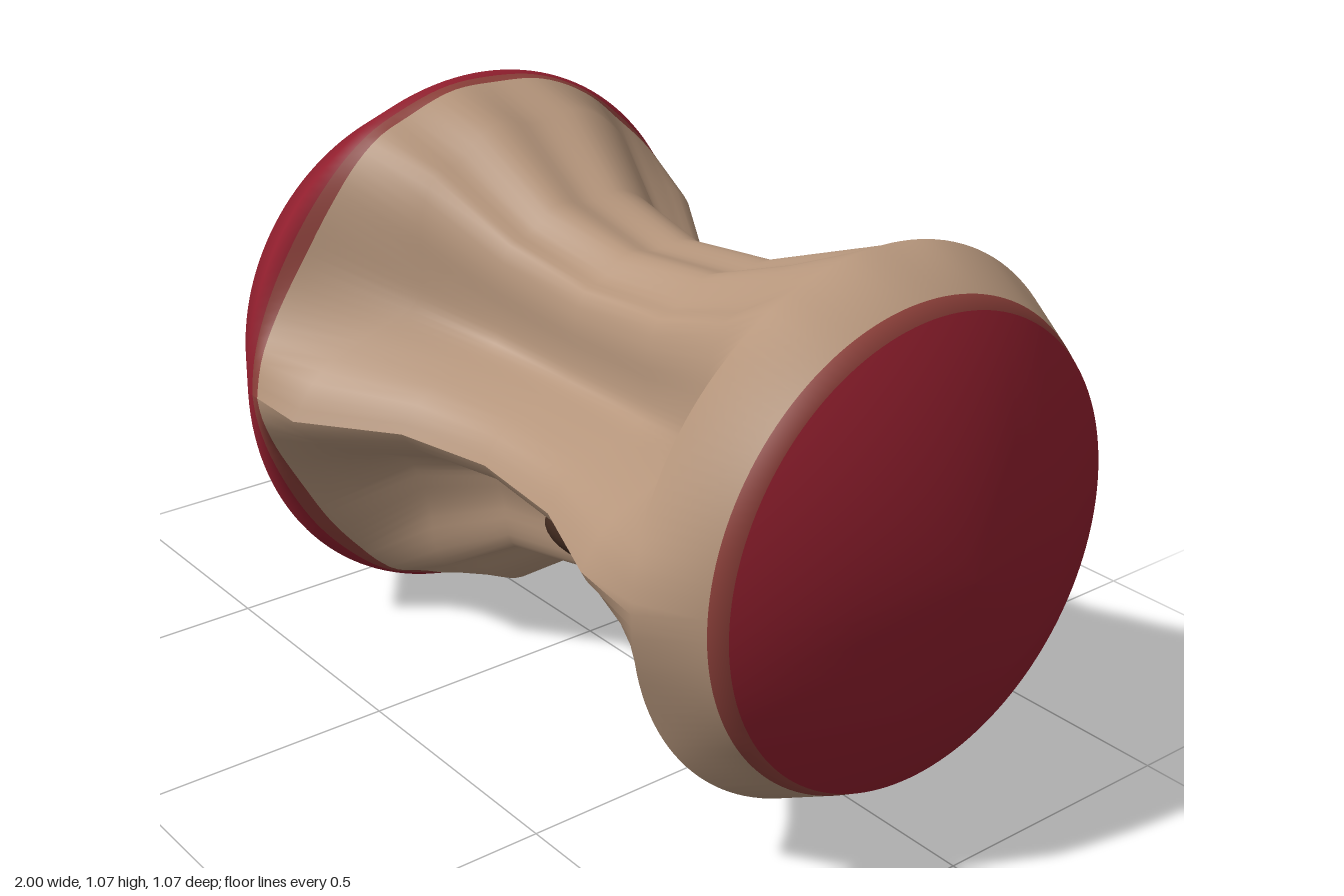
import * as THREE from 'three';

const AXIS_Y = 0.537;
const SEG = 144;

// Bitten neck: [angle in degrees from +z towards +y, radius]
const NECK = [
  [0, 0.365], [8, 0.335], [18, 0.27], [27, 0.225], [34, 0.212], [45, 0.235], [55, 0.285], [62, 0.312],
  [70, 0.308], [82, 0.332], [93, 0.32], [105, 0.338], [120, 0.318], [130, 0.288], [140, 0.3], [150, 0.318],
  [160, 0.275], [170, 0.247], [180, 0.24], [190, 0.25], [200, 0.288], [207, 0.31], [216, 0.29], [226, 0.272],
  [240, 0.322], [250, 0.318], [259, 0.297], [272, 0.333], [282, 0.318], [290, 0.292], [298, 0.308],
  [304, 0.285], [311, 0.25], [322, 0.226], [333, 0.222], [340, 0.245], [350, 0.31], [356, 0.35], [360, 0.365],
];
const neck = new THREE.CubicInterpolant(NECK.map((p) => p[0]), NECK.map((p) => p[1]), 1, new Float32Array(1));

// Lengthwise rows: [x, round radius, neck multiplier]; a multiplier of 0 keeps the row round
const ROWS = [
  [-0.612, 0, 0], [-0.609, 0.215, 0], [-0.53, 0.45, 0], [-0.37, 0.535, 0],
  [-0.354, 0.484, 0.139], [-0.335, 0.425, 0.302], [-0.2, 0, 1.47], [-0.03, 0, 1.12], [0.17, 0, 1],
  [0.39, 0, 1.065], [0.59, 0, 1.29], [0.75, 0.495, 0], [0.86, 0.436, 0], [0.89, 0.418, 0],
  [0.98, 0.24, 0], [1.0, 0, 0],
];

// One continuous skin, with a material group for each band of rows
function bodyGeometry() {
  const pos = [];
  const index = [];
  const w = SEG + 1;
  for (const [x, round, k] of ROWS) {
    for (let j = 0; j <= SEG; j++) {
      const deg = (j / SEG) * 360;
      const a = THREE.MathUtils.degToRad(deg);
      const r = round + k * neck.evaluate(deg)[0];
      pos.push(x, r * Math.sin(a), r * Math.cos(a));
    }
  }
  for (let i = 0; i < ROWS.length - 1; i++) {
    for (let j = 0; j < SEG; j++) {
      const a = i * w + j;
      const b = a + w;
      index.push(a, b, b + 1, a, b + 1, a + 1);
    }
  }
  const geo = new THREE.BufferGeometry();
  geo.setAttribute('position', new THREE.Float32BufferAttribute(pos, 3));
  geo.setIndex(index);
  geo.computeVertexNormals();

  // Blend the normals across the seam on the round rows
  const n = geo.attributes.normal;
  const u = new THREE.Vector3();
  const v = new THREE.Vector3();
  ROWS.forEach(([, , k], i) => {
    if (k > 0) return;
    u.fromBufferAttribute(n, i * w).add(v.fromBufferAttribute(n, i * w + SEG)).normalize();
    n.setXYZ(i * w, u.x, u.y, u.z);
    n.setXYZ(i * w + SEG, u.x, u.y, u.z);
  });

  // Skin, skin edge, flesh, skin edge, skin
  const bands = [[0, 4, 0], [4, 5, 1], [5, 12, 2], [12, 13, 1], [13, 15, 0]];
  for (const [from, to, m] of bands) geo.addGroup(from * SEG * 6, (to - from) * SEG * 6, m);
  return geo;
}

export function createModel() {
  const material = (name, color) => {
    const m = new THREE.MeshStandardMaterial({ color });
    m.name = name;
    return m;
  };
  const skin = material('red skin', 0x921f2e);
  const edge = material('skin edge', 0x8d403a);
  const flesh = material('flesh', 0xb6967c);
  const brown = material('dark brown', 0x40291e);

  const model = new THREE.Group();
  model.name = 'appleCore';

  const body = new THREE.Mesh(bodyGeometry(), [skin, edge, flesh]);
  body.name = 'coreBody';
  body.position.y = AXIS_Y;
  model.add(body);

  // Stem, tapering to its outer end
  const tip = new THREE.Vector3(-0.995, 0.635, -0.004);
  const root = new THREE.Vector3(-0.48, 0.49, 0);
  const dir = tip.clone().sub(root);
  const stem = new THREE.Mesh(new THREE.CylinderGeometry(0.024, 0.037, dir.length(), 12), brown);
  stem.name = 'stem';
  stem.position.copy(root).add(tip).multiplyScalar(0.5);
  stem.quaternion.setFromUnitVectors(new THREE.Vector3(0, 1, 0), dir.normalize());
  model.add(stem);

  // Seeds set into the grooves: [x, angle, distance from the axis]
  const seedGeo = new THREE.SphereGeometry(1, 24, 16).scale(0.09, 0.046, 0.042);
  const seeds = [
    [0.17, -52, 0.252],
    [0.28, 68, 0.272],
    [0.04, 183, 0.242],
  ];
  seeds.forEach(([x, deg, r], i) => {
    const a = THREE.MathUtils.degToRad(deg);
    const seed = new THREE.Mesh(seedGeo, brown);
    seed.name = `seed${i + 1}`;
    seed.position.set(x, AXIS_Y + r * Math.sin(a), r * Math.cos(a));
    seed.rotation.x = -a;
    model.add(seed);
  });
  return model;
}
